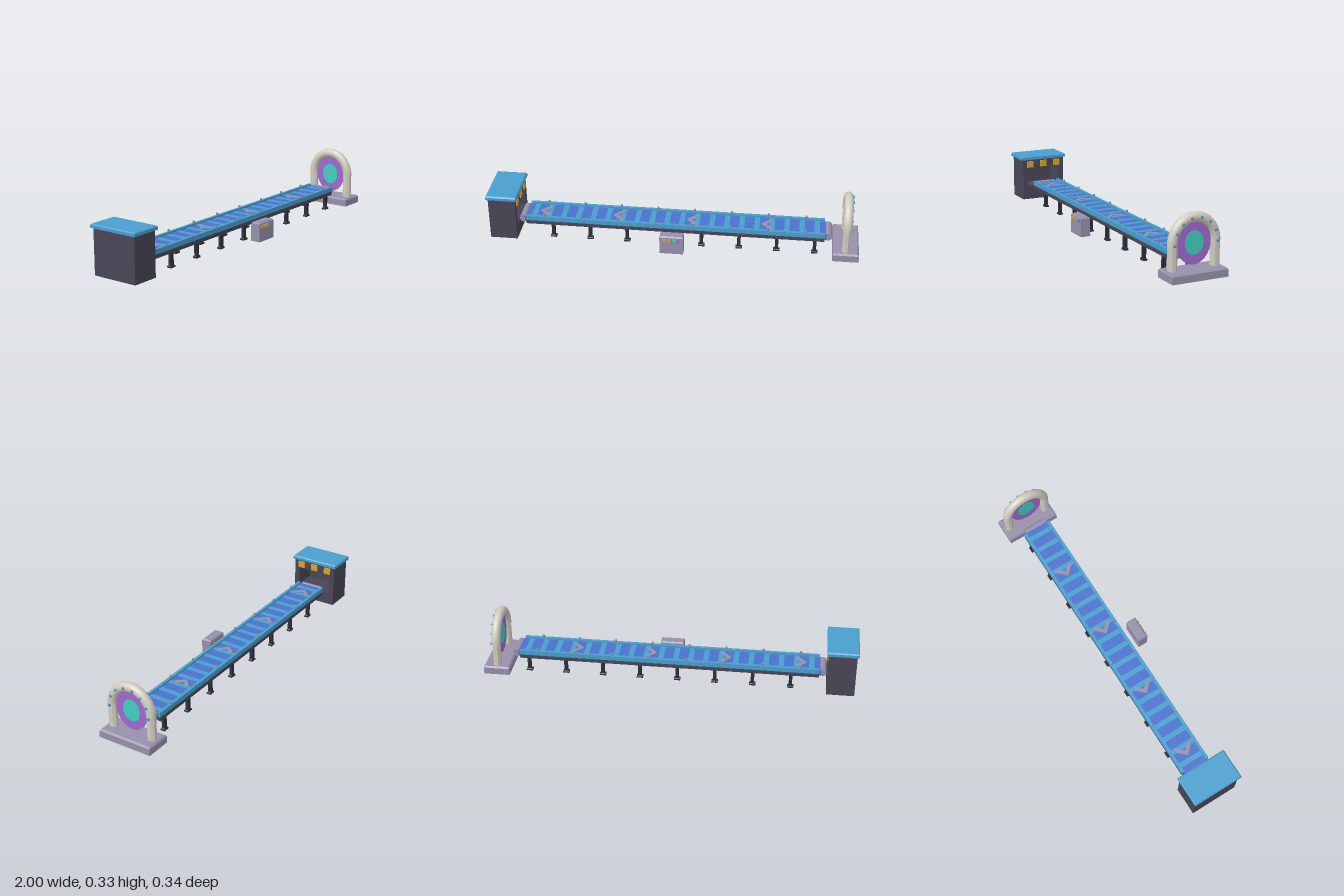
import * as THREE from 'three';

const mat = (name, color, extra = {}) => {
  const m = new THREE.MeshStandardMaterial({ color, ...extra });
  m.name = name;
  return m;
};

export function createModel() {
  const sky = mat('sky blue', 0x4a9fcf);
  const belt = mat('belt blue', 0x4a72cc);
  const lilac = mat('lilac grey', 0x9690aa);
  const dark = mat('dark slate', 0x484656);
  const black = mat('near black', 0x2e2e38);
  const cream = mat('cream', 0xd0ccc0);
  const purple = mat('purple', 0xa068cf);
  const teal = mat('teal', 0x40cfbd);
  const yellow = mat('yellow', 0xdca424);

  const model = new THREE.Group();
  model.name = 'conveyorWithGate';
  const CZ = -0.017; // centre line of the conveyor

  const add = (name, geo, material, x, y, z) => {
    const mesh = new THREE.Mesh(geo, material);
    mesh.name = name;
    mesh.position.set(x, y, z);
    model.add(mesh);
    return mesh;
  };
  // Box given by its limits
  const box = (name, material, x0, x1, y0, y1, z0, z1) =>
    add(name, new THREE.BoxGeometry(x1 - x0, y1 - y0, z1 - z0), material,
      (x0 + x1) / 2, (y0 + y1) / 2, (z0 + z1) / 2);
  // Box whose top edges are chamfered by b
  const chamferBox = (name, material, x0, x1, y0, y1, z0, z1, b) => {
    const w = x1 - x0, h = y1 - y0, d = z1 - z0;
    const geo = new THREE.BoxGeometry(w, h, d, 1, 2, 1).toNonIndexed();
    const p = geo.attributes.position;
    for (let i = 0; i < p.count; i++) {
      if (Math.abs(p.getY(i)) < 1e-6) p.setY(i, h / 2 - b);
      else if (p.getY(i) > 0) {
        p.setX(i, Math.sign(p.getX(i)) * (w / 2 - b));
        p.setZ(i, Math.sign(p.getZ(i)) * (d / 2 - b));
      }
    }
    geo.computeVertexNormals();
    return add(name, geo, material, (x0 + x1) / 2, (y0 + y1) / 2, (z0 + z1) / 2);
  };

  // Cabinet: back, sides, sill and lintel around an opening towards the belt
  box('cabinetBack', dark, -0.99, -0.97, 0.007, 0.247, CZ - 0.13, CZ + 0.13);
  for (const s of [-1, 1]) {
    const z = CZ + s * 0.115;
    box('cabinetSide', dark, -0.97, -0.842, 0.007, 0.247, z - 0.015, z + 0.015);
  }
  box('cabinetSill', dark, -0.97, -0.842, 0.007, 0.085, CZ - 0.1, CZ + 0.1);
  box('cabinetLintel', dark, -0.97, -0.842, 0.195, 0.247, CZ - 0.1, CZ + 0.1);
  chamferBox('cabinetLid', sky, -1, -0.833, 0.247, 0.268, CZ - 0.141, CZ + 0.141, 0.006);
  for (const i of [-1, 0, 1]) {
    const z = CZ + i * 0.085;
    box('cabinetLamp', yellow, -0.843, -0.836, 0.2, 0.238, z - 0.02, z + 0.02);
  }

  // Belt with stripes
  const X0 = -0.8, X1 = 0.815;
  box('belt', belt, X0 - 0.01, X1 + 0.01, 0.084, 0.114, CZ - 0.068, CZ + 0.068);
  const stripes = 20, pitch = (X1 - X0) / stripes;
  for (let i = 0; i < stripes; i++) {
    const x = X0 + (i + 0.5) * pitch;
    box('beltStripe', sky, x - 0.014, x + 0.014, 0.1135, 0.1155, CZ - 0.066, CZ + 0.066);
  }

  // Chevrons pointing towards the cabinet
  const chevron = new THREE.Shape([
    [-0.035, 0], [0.008, 0.045], [0.035, 0.045], [-0.006, 0], [0.035, -0.045], [0.008, -0.045],
  ].map(([x, y]) => new THREE.Vector2(x, y)));
  const chevronGeo = new THREE.ExtrudeGeometry(chevron, { depth: 0.003, bevelEnabled: false });
  chevronGeo.rotateX(-Math.PI / 2);
  for (let i = 0; i < 4; i++) add('beltChevron', chevronGeo, lilac, -0.7 + i * 0.403, 0.1145, CZ);

  // Rails and frame on both sides, with pegs and legs
  for (const s of [-1, 1]) {
    const z = CZ + s * 0.074;
    box('sideRail', sky, X0, X1, 0.099, 0.125, z - 0.008, z + 0.008);
    box('sideFrame', dark, X0, X1, 0.078, 0.099, z - 0.007, z + 0.007);
    for (let i = 0; i < 8; i++) {
      add('railPeg', new THREE.CylinderGeometry(0.006, 0.006, 0.014, 8), lilac,
        -0.7 + i * 0.202, 0.13, z);
      const x = -0.652 + i * 0.2025, lz = CZ + s * 0.068;
      box('leg', black, x - 0.009, x + 0.009, 0.008, 0.084, lz - 0.009, lz + 0.009);
      chamferBox('foot', black, x - 0.017, x + 0.017, 0, 0.012, lz - 0.012, lz + 0.012, 0.004);
    }
  }

  // End rollers
  const rollerGeo = new THREE.CylinderGeometry(0.021, 0.021, 0.126, 20);
  rollerGeo.rotateX(Math.PI / 2);
  for (const x of [-0.818, 0.834]) add('endRoller', rollerGeo, lilac, x, 0.097, CZ);

  // Control box with buttons
  chamferBox('controlBox', lilac, -0.057, 0.07, 0.007, 0.112, 0.109, 0.164, 0.007);
  [yellow, yellow, teal, purple].forEach((m, i) => {
    const x = -0.031 + i * 0.025;
    box('controlButton', m, x - 0.008, x + 0.008, 0.083, 0.098, 0.163, 0.17);
  });

  // Gate base and posts
  const GX = 0.929, GY = 0.178;
  chamferBox('gateBase', lilac, 0.86, 1, 0.007, 0.052, CZ - 0.152, CZ + 0.152, 0.008);
  const postGeo = new THREE.CylinderGeometry(0.025, 0.025, GY - 0.05, 8).toNonIndexed();
  postGeo.rotateY(Math.PI / 8);
  postGeo.computeVertexNormals();
  for (const s of [-1, 1]) {
    add('gatePost', postGeo, cream, GX, (GY + 0.05) / 2, CZ + s * 0.116).scale.x = 0.88;
  }

  // Arch, slightly taller than a half circle
  const arch = new THREE.TorusGeometry(0.117, 0.025, 16, 36, Math.PI);
  arch.rotateY(Math.PI / 2);
  add('gateArch', arch, cream, GX, GY, CZ).scale.y = 1.06;
  const capGeo = new THREE.CircleGeometry(0.025, 16);
  capGeo.rotateX(Math.PI / 2);
  for (const s of [-1, 1]) add('archEnd', capGeo, cream, GX, GY, CZ + s * 0.117);

  // Bolts around the arch
  for (let i = 0; i < 8; i++) {
    const a = (i / 7) * Math.PI;
    const bolt = add('archBolt', new THREE.BoxGeometry(0.012, 0.012, 0.012), sky,
      GX + 0.024, GY + Math.sin(a) * 0.126, CZ + Math.cos(a) * 0.117);
    bolt.rotation.x = -a;
  }

  // Glowing oval panel in the gate
  const oval = (name, material, rz, ry, thickness) => {
    const geo = new THREE.CylinderGeometry(1, 1, thickness, 48);
    geo.rotateZ(Math.PI / 2);
    add(name, geo, material, GX, 0.176, CZ).scale.set(1, ry, rz);
  };
  oval('portalOuter', purple, 0.091, 0.107, 0.006);
  oval('portalInner', teal, 0.05, 0.06, 0.0095);

  return model;
}
